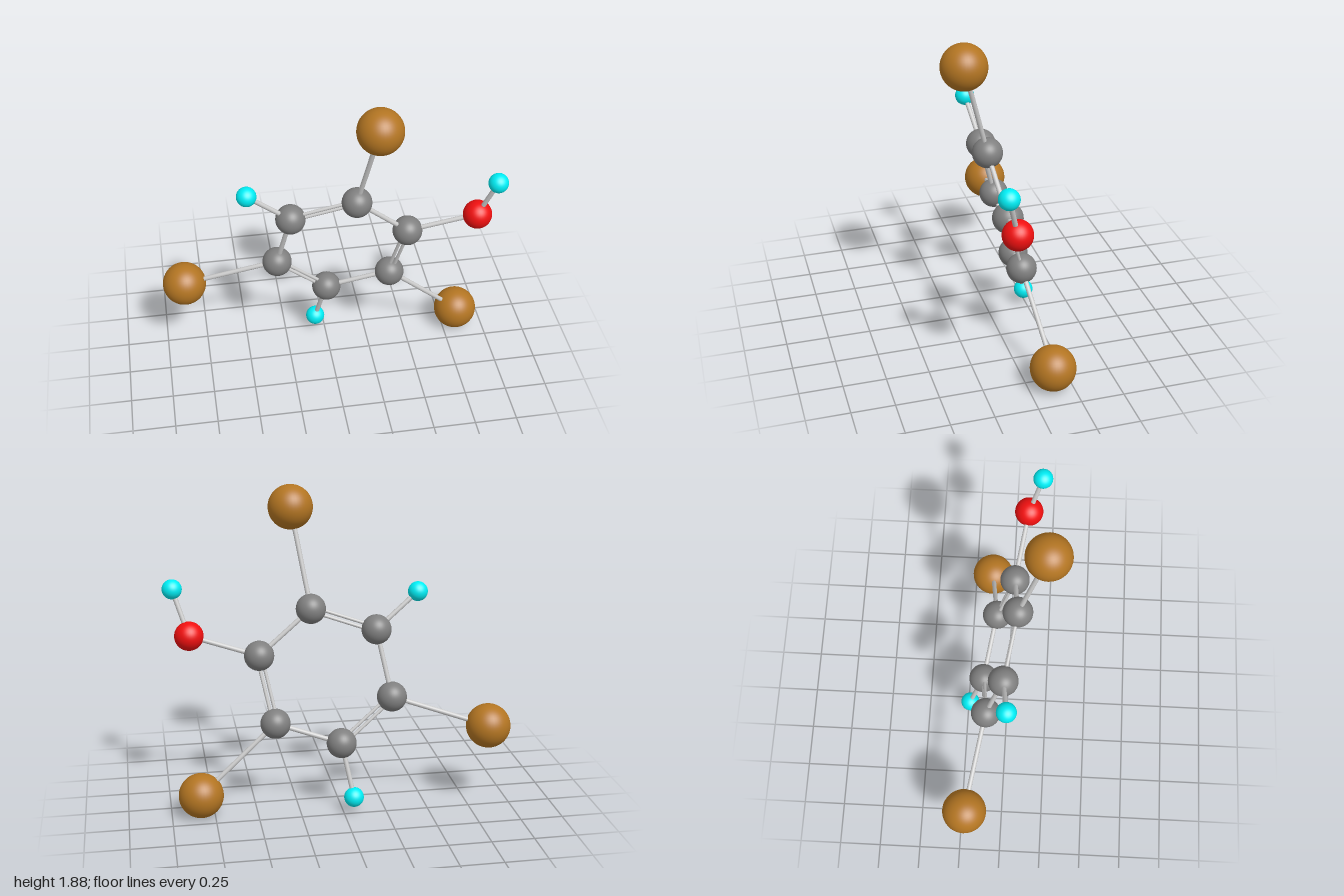
import * as THREE from 'three';

const material = (color) => new THREE.MeshStandardMaterial({ color });

// Ball types: radius and colour
const kinds = {
  carbon: { radius: 0.088, mat: material(0x808080) },
  bromine: { radius: 0.131, mat: material(0xb37522) },
  oxygen: { radius: 0.085, mat: material(0xf01010) },
  hydrogen: { radius: 0.058, mat: material(0x00eef5) },
};
const bondMaterial = material(0xcccccc);

// Six ring atoms in order, then the atom attached to each of them
const ring = [
  [0.147, 1.18, 0.052], [0.457, 0.92, 0.022], [0.38, 0.534, -0.085],
  [0, 0.412, -0.15], [-0.305, 0.671, -0.115], [-0.23, 1.056, -0.013],
].map((p) => new THREE.Vector3(...p));
const attached = [
  ['bromine', 0.24, 1.753, 0.208], ['oxygen', 0.855, 1.04, 0.087],
  ['bromine', 0.828, 0.135, -0.137], ['hydrogen', -0.059, 0.102, -0.237],
  ['bromine', -0.867, 0.491, -0.214], ['hydrogen', -0.481, 1.267, 0.018],
];
const hydroxylEnd = new THREE.Vector3(0.94, 1.304, 0.161);

export function createModel() {
  const model = new THREE.Group();
  model.name = 'molecule';

  const addAtom = (kind, position) => {
    const { radius, mat } = kinds[kind];
    const atom = new THREE.Mesh(new THREE.SphereGeometry(radius, 40, 28), mat);
    atom.name = kind + 'Atom';
    atom.position.copy(position);
    model.add(atom);
  };

  // Rod between two points, optionally shifted sideways
  const addBond = (a, b, radius = 0.014, shift = new THREE.Vector3()) => {
    const dir = b.clone().sub(a);
    const rod = new THREE.Mesh(
      new THREE.CylinderGeometry(radius, radius, dir.length(), 16), bondMaterial);
    rod.name = 'bond';
    rod.position.copy(a).add(b).multiplyScalar(0.5).add(shift);
    rod.quaternion.setFromUnitVectors(new THREE.Vector3(0, 1, 0), dir.normalize());
    model.add(rod);
  };

  // Ring plane normal, used to lay double bonds side by side in the plane
  const normal = ring[2].clone().sub(ring[0]).cross(ring[4].clone().sub(ring[0])).normalize();

  ring.forEach((carbon, i) => {
    const next = ring[(i + 1) % 6];
    addAtom('carbon', carbon);

    // Ring bonds alternate single and double
    if (i % 2 === 0) {
      addBond(carbon, next);
    } else {
      const side = next.clone().sub(carbon).cross(normal).normalize();
      for (const s of [-0.014, 0.014]) {
        addBond(carbon, next, 0.01, side.clone().multiplyScalar(s));
      }
    }

    // Outer atom
    const [kind, ...p] = attached[i];
    const outer = new THREE.Vector3(...p);
    addAtom(kind, outer);
    addBond(carbon, outer);
    if (kind === 'oxygen') {
      addAtom('hydrogen', hydroxylEnd);
      addBond(outer, hydroxylEnd);
    }
  });

  return model;
}
